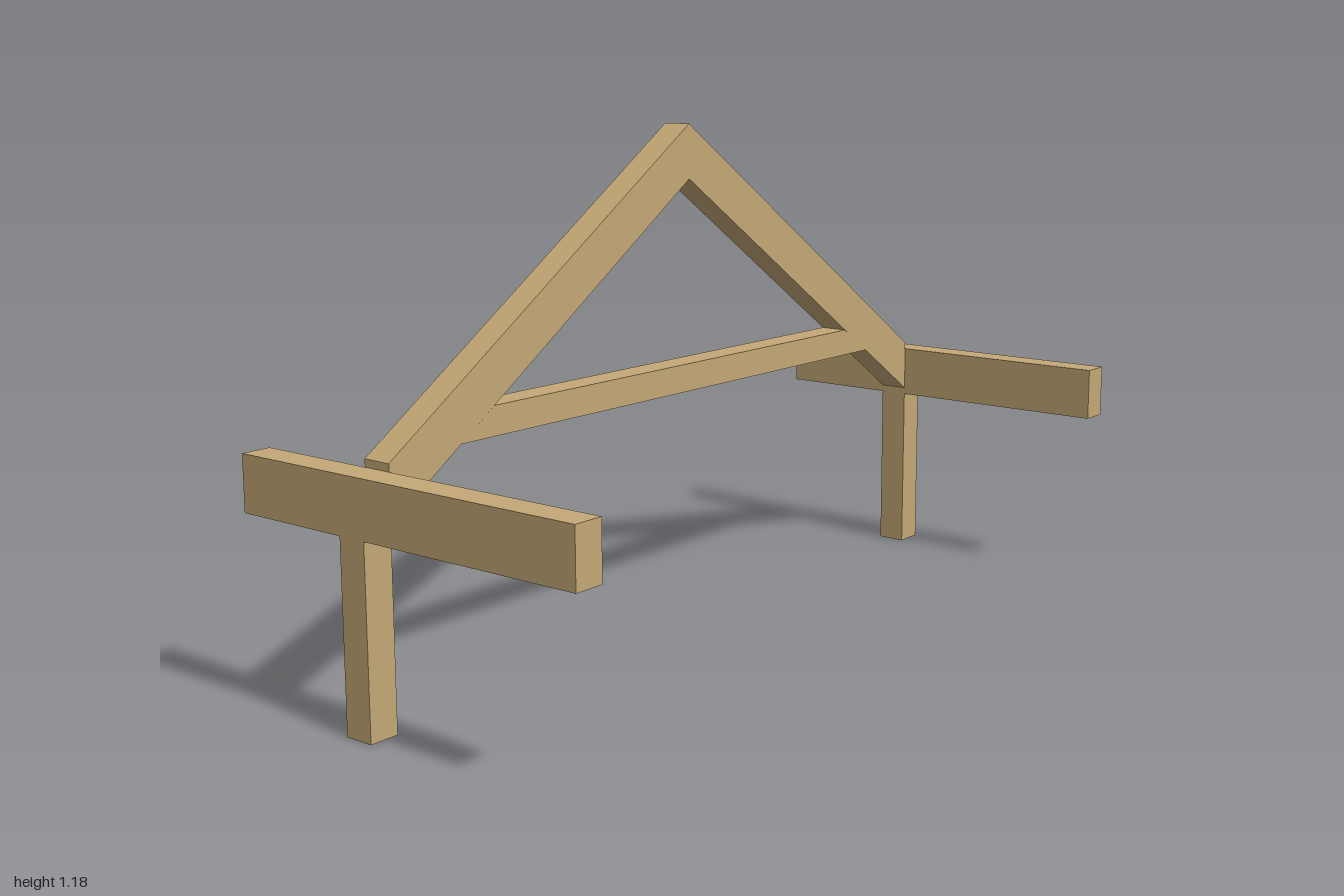
import * as THREE from 'three';

export function createModel() {
  const group = new THREE.Group();
  const wood = new THREE.MeshStandardMaterial({ color: 0xc4a876, flatShading: true });
  const thick = 0.07, trussZ = -0.13;

  const add = (name, geometry) => {
    const mesh = new THREE.Mesh(geometry, wood);
    mesh.name = name;
    group.add(mesh);
    return mesh;
  };
  // Flat timber outlined in the x-y plane, centred on the truss depth
  const timber = (name, points) => {
    const shape = new THREE.Shape(points.map(([x, y]) => new THREE.Vector2(x, y)));
    const geometry = new THREE.ExtrudeGeometry(shape, { depth: thick, bevelEnabled: false });
    add(name, geometry.translate(0, 0, trussZ - thick / 2));
  };

  for (const [side, s] of [['left', 1], ['right', -1]]) {
    // Post carrying the long wall beam
    add(side + 'Post', new THREE.BoxGeometry(thick, 0.413, thick))
      .position.set(s * 0.965, 0.2065, trussZ);
    add(side + 'WallBeam', new THREE.BoxGeometry(thick, 0.125, 0.914))
      .position.set(s * 0.965, 0.4755, 0);
    // Sloping rafter, cut plumb at the ridge and at the wall beam
    timber(side + 'Rafter', [[0, 1.052], [s * 0.93, 0.43], [s * 0.93, 0.555], [0, 1.177]]);
  }

  // Tie beam, mitred against the undersides of the rafters
  timber('tieBeam', [[-0.736, 0.56], [0.736, 0.56], [0.638, 0.625], [-0.638, 0.625]]);

  return group;
}
